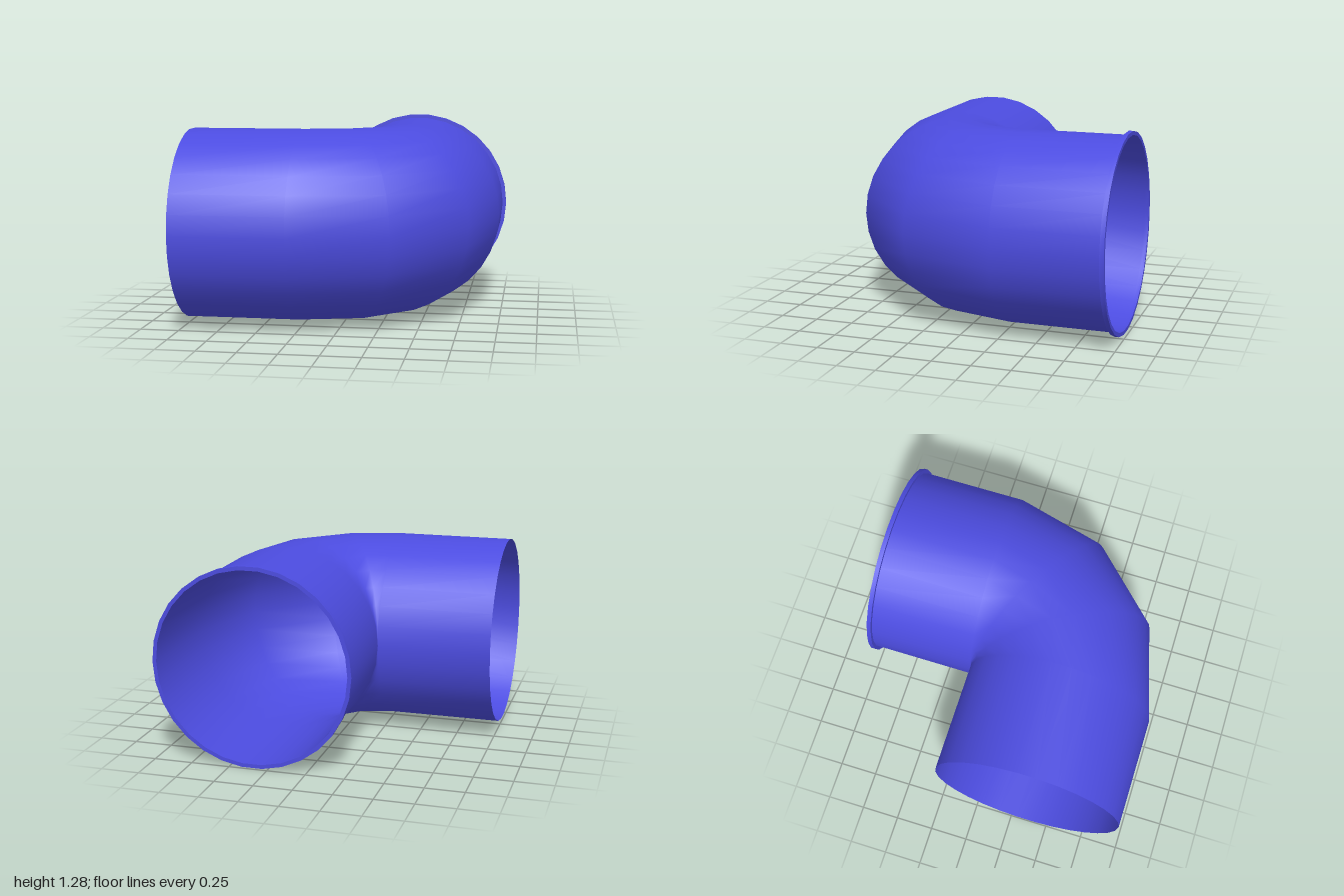
import * as THREE from 'three';
import { toCreasedNormals } from 'three/addons/utils/BufferGeometryUtils.js';

const SIDES = 30;
const R = 0.62;        // pipe radius, also the radius of the bend
const PIVOT = -0.265;  // x and z of the bend's inner corner
const AXIS_Y = 0.642;
const BACK = -0.98;

// Sweep of circular sections: straight leg, 90 degree mitred bend, straight leg
function pipeGeometry() {
  const sections = [{ a: 0, dx: -1 - PIVOT, dz: 0 }];
  for (let k = 0; k <= 3; k++) sections.push({ a: (k * Math.PI) / 6, dx: 0, dz: 0 });
  sections.push({ a: Math.PI / 2, dx: 0, dz: BACK - PIVOT });

  const positions = [];
  const index = [];
  sections.forEach(({ a, dx, dz }, i) => {
    for (let j = 0; j < SIDES; j++) {
      const t = (j / SIDES) * Math.PI * 2;
      const reach = R + R * Math.cos(t);
      positions.push(
        PIVOT + dx + reach * Math.sin(a),
        AXIS_Y + R * Math.sin(t),
        PIVOT + dz + reach * Math.cos(a)
      );
      if (i < sections.length - 1) {
        const p = i * SIDES + j;
        const q = i * SIDES + ((j + 1) % SIDES);
        index.push(p, p + SIDES, q + SIDES, p, q + SIDES, q);
      }
    }
  });
  const geometry = new THREE.BufferGeometry();
  geometry.setAttribute('position', new THREE.Float32BufferAttribute(positions, 3));
  geometry.setIndex(index);
  geometry.computeVertexNormals();
  return geometry;
}

// Thin raised ring around the back opening
function flangeGeometry() {
  const outer = 0.645, depth = 0.028;
  const profile = [[outer, 0], [outer, depth], [R, depth], [R, 0], [outer, 0]]
    .map(([r, y]) => new THREE.Vector2(r, y));
  const ring = new THREE.LatheGeometry(profile, SIDES);
  ring.rotateY(Math.PI / 2);
  ring.rotateX(Math.PI / 2);
  return toCreasedNormals(ring, 0.5);
}

export function createModel() {
  const group = new THREE.Group();
  group.name = 'pipeElbow';
  const material = new THREE.MeshStandardMaterial({ color: 0x4c4ce0, side: THREE.DoubleSide });

  const pipe = new THREE.Mesh(pipeGeometry(), material);
  pipe.name = 'bentPipe';

  const flange = new THREE.Mesh(flangeGeometry(), material);
  flange.name = 'endFlange';
  flange.position.set(PIVOT + R, AXIS_Y, BACK);

  group.add(pipe, flange);
  return group;
}
